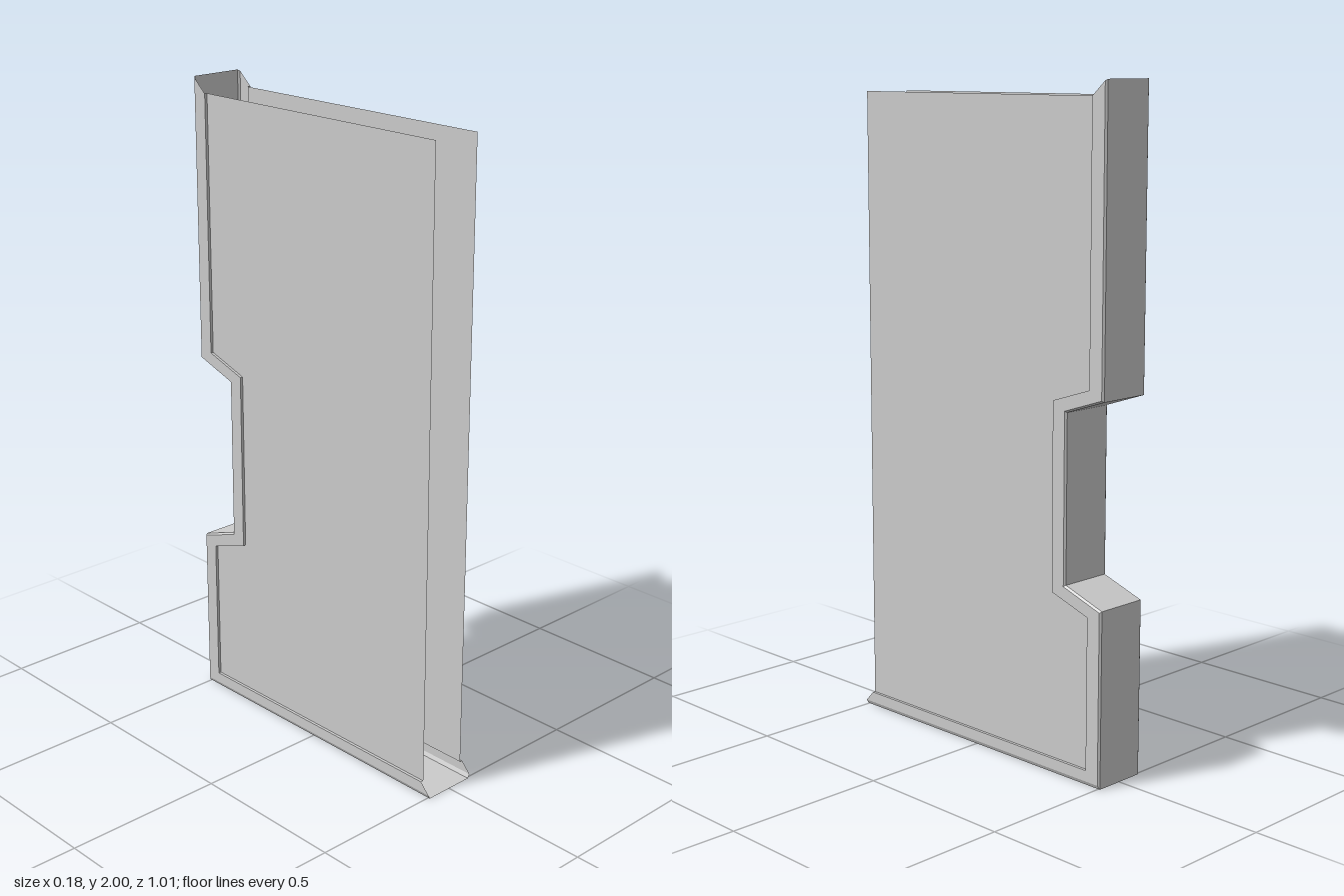
import * as THREE from 'three';

const HALF_OUT = 0.0885; // half width over the raised rim
const HALF_IN = 0.0795;  // half width over the recessed side panels
const BEVEL = 0.006;

// Outlines as [z, y], from the front of the base round the notched back to the top
const outer = [[0.506, 0], [-0.506, 0], [-0.506, 0.53], [-0.367, 0.578],
  [-0.367, 1.08], [-0.506, 1.127], [-0.506, 2]];
const shoulder = [[0.506, 0.012], [-0.501, 0.012], [-0.501, 0.526], [-0.362, 0.574],
  [-0.362, 1.084], [-0.501, 1.131], [-0.501, 1.996]];
const inner = [[0.475, 0.045], [-0.455, 0.045], [-0.455, 0.503], [-0.317, 0.549],
  [-0.317, 1.109], [-0.455, 1.155], [-0.455, 1.955]];

// Skin a series of outlines, each lying at its own x
function skin(rows) {
  const pos = [];
  const point = (r, i) => [r.x, r.path[i][1], r.path[i][0]];
  for (let j = 0; j < rows.length - 1; j++) {
    for (let i = 0; i < outer.length - 1; i++) {
      const a = point(rows[j], i), b = point(rows[j + 1], i);
      const c = point(rows[j + 1], i + 1), d = point(rows[j], i + 1);
      pos.push(...a, ...b, ...c, ...a, ...c, ...d);
    }
  }
  const geo = new THREE.BufferGeometry();
  geo.setAttribute('position', new THREE.Float32BufferAttribute(pos, 3));
  geo.computeVertexNormals();
  return geo;
}

export function createModel() {
  const group = new THREE.Group();
  const material = new THREE.MeshStandardMaterial({
    color: 0xcccccc, flatShading: true, side: THREE.DoubleSide });

  // Channel: step, rim, bevel, base and back wall, then the same mirrored
  const half = [
    { x: HALF_IN, path: inner },
    { x: HALF_OUT, path: inner },
    { x: HALF_OUT, path: shoulder },
    { x: HALF_OUT - BEVEL, path: outer },
  ];
  const mirrored = half.map(({ x, path }) => ({ x: -x, path })).reverse();
  const frame = new THREE.Mesh(skin([...half, ...mirrored]), material);
  frame.name = 'edgeFrame';
  group.add(frame);

  // Thin side panels inside the rim, open at the front and top
  const outline = [...inner, [0.475, 1.955]].map(([z, y]) => new THREE.Vector2(z, y));
  const panelGeo = new THREE.ShapeGeometry(new THREE.Shape(outline));
  for (const side of [1, -1]) {
    const panel = new THREE.Mesh(panelGeo, material);
    panel.name = side > 0 ? 'leftPanel' : 'rightPanel';
    panel.rotation.y = -Math.PI / 2;
    panel.scale.z = -side;
    panel.position.x = side * HALF_IN;
    group.add(panel);
  }
  return group;
}
